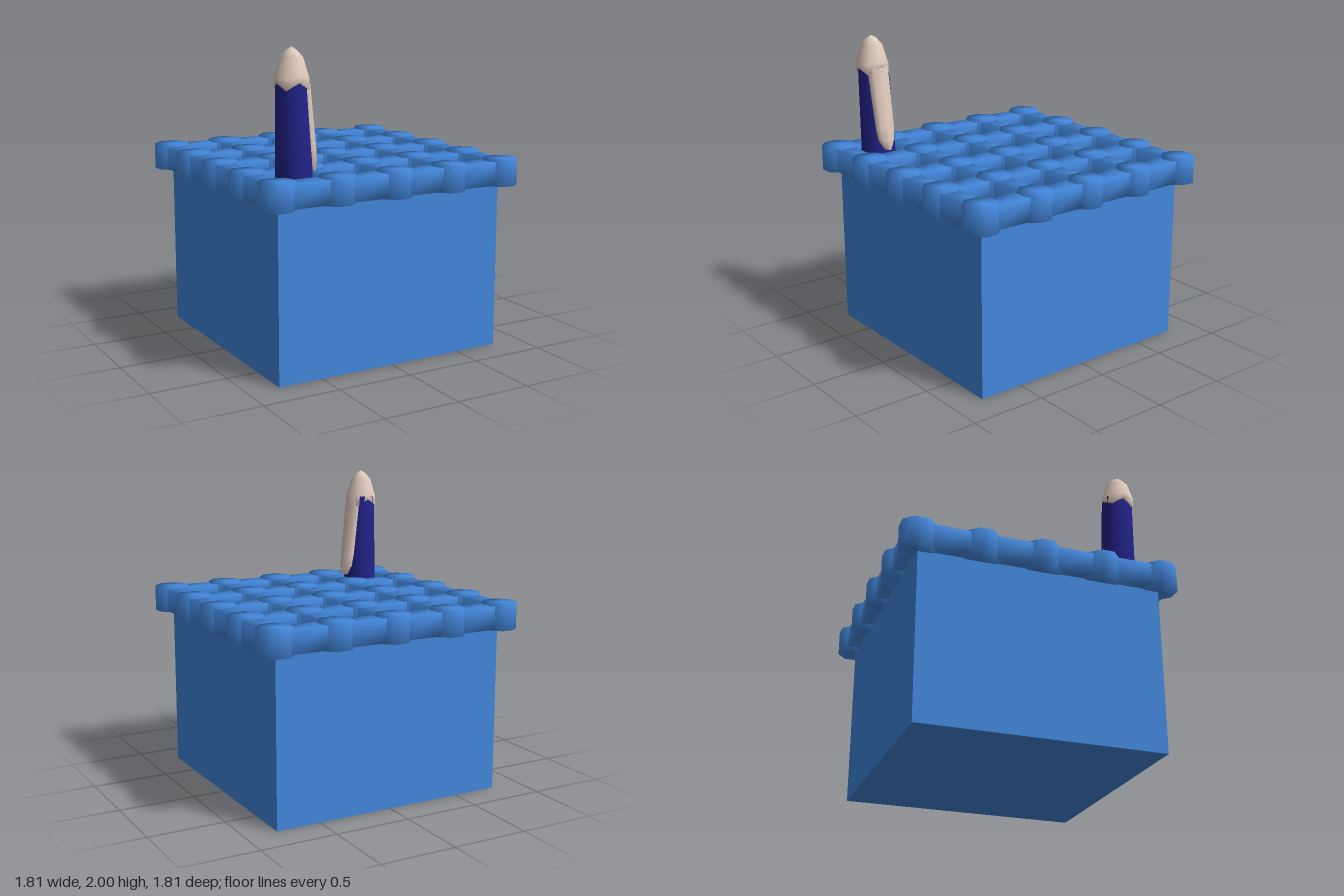
import * as THREE from 'three';
import { mergeVertices } from 'three/addons/utils/BufferGeometryUtils.js';

const blue = new THREE.MeshStandardMaterial({ color: 0x4488dd });
const navy = new THREE.MeshStandardMaterial({ color: 0x222288 });
const tan = new THREE.MeshStandardMaterial({ color: 0xe3cdc0 });
blue.name = 'blue';
navy.name = 'navy';
tan.name = 'tan';

// Weld all corners so that normals blend across every edge
function soften(geo) {
  geo.deleteAttribute('normal');
  geo.deleteAttribute('uv');
  const welded = mergeVertices(geo, 1e-4);
  welded.computeVertexNormals();
  return welded;
}

function add(parent, name, geo, mat, x = 0, y = 0, z = 0) {
  const mesh = new THREE.Mesh(geo, mat);
  mesh.name = name;
  mesh.position.set(x, y, z);
  parent.add(mesh);
  return mesh;
}

// Skin over elliptical rings [y, centreX, centreZ, radiusX, radiusZ, drop of odd corners]
function loft(rings, n) {
  const pos = [], index = [];
  rings.forEach(([y, cx, cz, rx, rz, drop = 0], i) => {
    for (let j = 0; j < n; j++) {
      const a = (j / n) * Math.PI * 2;
      pos.push(cx + rx * Math.cos(a), y - (j % 2) * drop, cz + rz * Math.sin(a));
      if (i === rings.length - 1) continue;
      const k = (j + 1) % n, p = i * n, q = p + n;
      index.push(p + j, q + j, p + k, p + k, q + j, q + k);
    }
  });
  const geo = new THREE.BufferGeometry();
  geo.setAttribute('position', new THREE.Float32BufferAttribute(pos, 3));
  geo.setIndex(index);
  return soften(geo);
}

function square(half, Type) {
  const s = new Type();
  s.moveTo(-half, -half).lineTo(half, -half).lineTo(half, half).lineTo(-half, half).closePath();
  return s;
}

export function createModel() {
  const model = new THREE.Group();

  // Open box with thick walls
  const box = new THREE.Group();
  box.name = 'box';
  const plan = square(0.793, THREE.Shape);
  plan.holes.push(square(0.662, THREE.Path));
  const walls = new THREE.ExtrudeGeometry(plan, { depth: 1.1, bevelEnabled: false });
  walls.rotateX(-Math.PI / 2);
  add(box, 'walls', walls, blue);
  add(box, 'floor', new THREE.BoxGeometry(1.324, 0.13, 1.324), blue, 0, 0.065, 0);
  model.add(box);

  // Lattice lid: octagonal knots joined by short bars
  const lid = new THREE.Group();
  lid.name = 'lattice';
  const knot = new THREE.CylinderGeometry(0.113, 0.113, 0.17, 8);
  knot.rotateY(Math.PI / 8);
  const knotGeo = soften(knot);
  const barGeo = soften(new THREE.BoxGeometry(0.24, 0.15, 0.13, 1, 1, 1));
  const pitch = 0.4;
  for (let i = -2; i <= 2; i++) {
    for (let j = -2; j <= 2; j++) {
      add(lid, 'knot', knotGeo, blue, i * pitch, 1.165, j * pitch);
      if (j === 2) continue;
      const mid = (j + 0.5) * pitch;
      add(lid, 'barAcross', barGeo, blue, mid, 1.162, i * pitch);
      add(lid, 'barDeep', barGeo, blue, i * pitch, 1.162, mid).rotation.y = Math.PI / 2;
    }
  }
  model.add(lid);

  // Stick standing in the front corner cell
  const stick = new THREE.Group();
  stick.name = 'stick';
  add(stick, 'body', loft([
    [0.13, -0.585, 0.61, 0, 0],
    [0.13, -0.585, 0.61, 0.12, 0.125],
    [1.25, -0.594, 0.615, 0.112, 0.112],
    [1.82, -0.61, 0.625, 0.096, 0.1],
    [1.82, -0.61, 0.625, 0, 0],
  ], 12), navy);

  // Pointed cap with a zigzag hem
  add(stick, 'cap', loft([
    [1.79, -0.61, 0.63, 0.09, 0.09, 0.03],
    [1.80, -0.612, 0.63, 0.11, 0.112, 0.05],
    [1.83, -0.612, 0.63, 0.108, 0.108, 0.01],
    [1.94, -0.612, 0.63, 0.07, 0.072],
    [1.98, -0.612, 0.63, 0.033, 0.035],
    [2.0, -0.612, 0.63, 0, 0],
  ], 8), tan);

  // Ridge running down one side from the cap
  add(stick, 'ridge', loft([
    [1.25, -0.475, 0.615, 0, 0],
    [1.255, -0.48, 0.615, 0.038, 0.02],
    [1.32, -0.49, 0.615, 0.042, 0.06],
    [1.4, -0.5, 0.617, 0.044, 0.07],
    [1.78, -0.552, 0.625, 0.052, 0.078],
    [1.87, -0.585, 0.627, 0.05, 0.06],
    [1.9, -0.6, 0.63, 0, 0],
  ], 8), tan);
  model.add(stick);

  return model;
}
